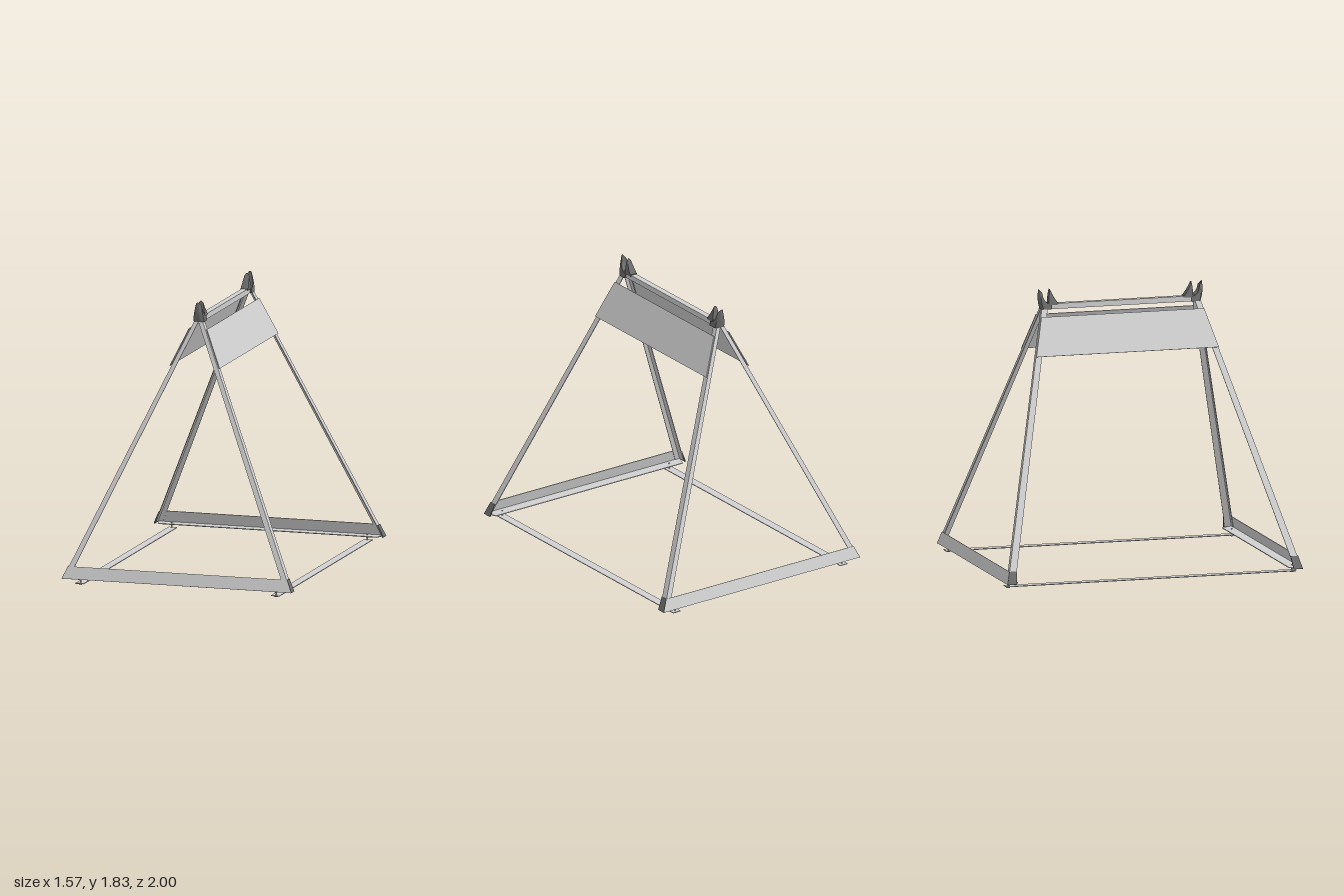
import * as THREE from 'three';
import { toCreasedNormals } from 'three/addons/utils/BufferGeometryUtils.js';

const steel = new THREE.MeshStandardMaterial({ color: 0xd0d0d0, name: 'light steel' });
const plastic = new THREE.MeshStandardMaterial({ color: 0x6c6c6c, name: 'dark plastic' });

// Sloping outer planes of the A-frames, shared by legs, base beams and panels
const X = y => 0.745 - 0.4525 * (y - 0.12);
const Z = y => 0.98 - 0.2785 * (y - 0.12);

// Thin slab: four corners counter-clockwise from outside, thickened inwards by t
function slab(corners, t, sx = 1, sz = 1) {
  let p = corners.map(([x, y, z]) => new THREE.Vector3(x * sx, y, z * sz));
  if (sx * sz < 0) p.reverse();
  const n = p[1].clone().sub(p[0]).cross(p[2].clone().sub(p[0])).normalize();
  const q = p.map(v => v.clone().addScaledVector(n, -t));
  const out = [];
  const face = (a, b, c, d) => [a, b, c, a, c, d].forEach(v => out.push(v.x, v.y, v.z));
  face(...p);
  face(q[3], q[2], q[1], q[0]);
  for (let i = 0; i < 4; i++) {
    const j = (i + 1) % 4;
    face(p[i], q[i], q[j], p[j]);
  }
  const g = new THREE.BufferGeometry();
  g.setAttribute('position', new THREE.Float32BufferAttribute(out, 3));
  g.computeVertexNormals();
  return g;
}

// Prong: side profile [z, y] extruded across x, tapered upwards with a rounded crown
function prong(profile, wide, narrow, bow, sz) {
  const shape = new THREE.Shape(profile.map(([z, y]) => new THREE.Vector2(z, y)));
  let g = new THREE.ExtrudeGeometry(shape, { depth: 2, steps: 10, bevelEnabled: false });
  const pos = g.attributes.position;
  for (let i = 0; i < pos.count; i++) {
    const z = pos.getX(i), y = pos.getY(i), u = pos.getZ(i) - 1;
    const k = THREE.MathUtils.clamp((y - 1.70) / 0.13, 0, 1);
    pos.setXYZ(i, -u * (wide + (narrow - wide) * k), y - 0.02 * k * k * u * u, z - bow * u * u);
  }
  if (sz < 0) g.rotateY(Math.PI);
  g = toCreasedNormals(g, 0.7);
  return g;
}

export function createModel() {
  const root = new THREE.Group();
  const add = (name, geo, mat = steel) => {
    const m = new THREE.Mesh(geo, mat);
    m.name = name;
    root.add(m);
    return m;
  };
  const box = (name, w, h, d, x, y, z, mat) =>
    add(name, new THREE.BoxGeometry(w, h, d), mat).position.set(x, y, z);

  const y0 = 0.04, y1 = 0.12, yt = 1.70, t = 0.005;

  for (const sz of [1, -1]) {
    // Angle-iron base beam: sloping face plus flat bottom flange
    add('baseBeamFace', slab([
      [-X(y0), y0, Z(y0)], [X(y0), y0, Z(y0)], [X(y1), y1, Z(y1)], [-X(y1), y1, Z(y1)]], t, 1, sz));
    add('baseBeamFlange', slab([
      [-0.775, y0 + t, 0.995], [0.775, y0 + t, 0.995],
      [0.745, y0 + t, 0.92], [-0.745, y0 + t, 0.92]], t, 1, sz));

    for (const sx of [1, -1]) {
      // Angle-iron leg: front flange and side flange meeting at the outer edge
      const f = 0.006;
      add('legFrontFlange', slab([
        [X(y0) - 0.045, y0 + f, Z(y0) - f], [X(y0) - f, y0 + f, Z(y0) - f],
        [X(yt), yt, Z(yt)], [0, yt, Z(yt)]], t, sx, sz));
      add('legSideFlange', slab([
        [X(y0) - f, y0 + f, Z(y0) - f], [X(y0) - f, y0 + f, Z(y0) - 0.055],
        [X(yt), yt, Z(yt) - 0.04], [X(yt), yt, Z(yt)]], t, sx, sz));
      // Dark cap on the end of the base beam
      add('beamEndCap', slab([
        [X(y0) + 0.003, y0, Z(y0)], [X(y0) + 0.003, y0, 0.94],
        [X(y1) + 0.003, y1, 0.93], [X(y1) + 0.003, y1, Z(y1)]], 0.008, sx, sz), plastic);

      // Bolt fixing the floor rail under the beam
      const bolt = (name, r, h, y) =>
        add(name, new THREE.CylinderGeometry(r, r, h, 12)).position.set(sx * 0.667, y, sz * 0.962);
      bolt('boltStem', 0.005, 0.05, 0.025);
      bolt('boltHead', 0.011, 0.006, 0.003);
      bolt('boltWasher', 0.02, 0.004, 0.036);
    }

    // Cradle on the apex: curved outer prong and triangular inner prong
    add('outerProng', prong([
      [0.488, 1.70], [0.545, 1.70], [0.556, 1.74], [0.559, 1.78], [0.556, 1.83],
      [0.55, 1.825], [0.545, 1.79], [0.535, 1.76], [0.515, 1.738], [0.488, 1.73]],
      0.038, 0.018, 0.016, sz), plastic);
    add('innerProng', prong([
      [0.425, 1.73], [0.49, 1.73], [0.487, 1.80], [0.483, 1.83], [0.476, 1.826], [0.455, 1.78]],
      0.03, 0.016, 0, sz), plastic);
    box('cradleBase', 0.05, 0.012, 0.09, 0, 1.731, sz * 0.47, plastic);
  }

  for (const sx of [1, -1]) {
    // Flat floor rail joining the two base beams
    box('floorRail', 0.058, 0.005, 1.97, sx * 0.667, 0.0105, 0);

    // Sloping side panel laid over the upper legs
    const yb = 1.415, yp = 1.655, off = 0.012;
    add('sidePanel', slab([
      [X(yb) + off, yb, Z(yb)], [X(yb) + off, yb, -Z(yb)],
      [X(yp) + off, yp, -Z(yp)], [X(yp) + off, yp, Z(yp)]], 0.005, sx, 1));
  }

  // Ridge bar between the two apexes
  box('ridgeBar', 0.04, 0.036, 1.02, 0, 1.715, 0);

  return root;
}
